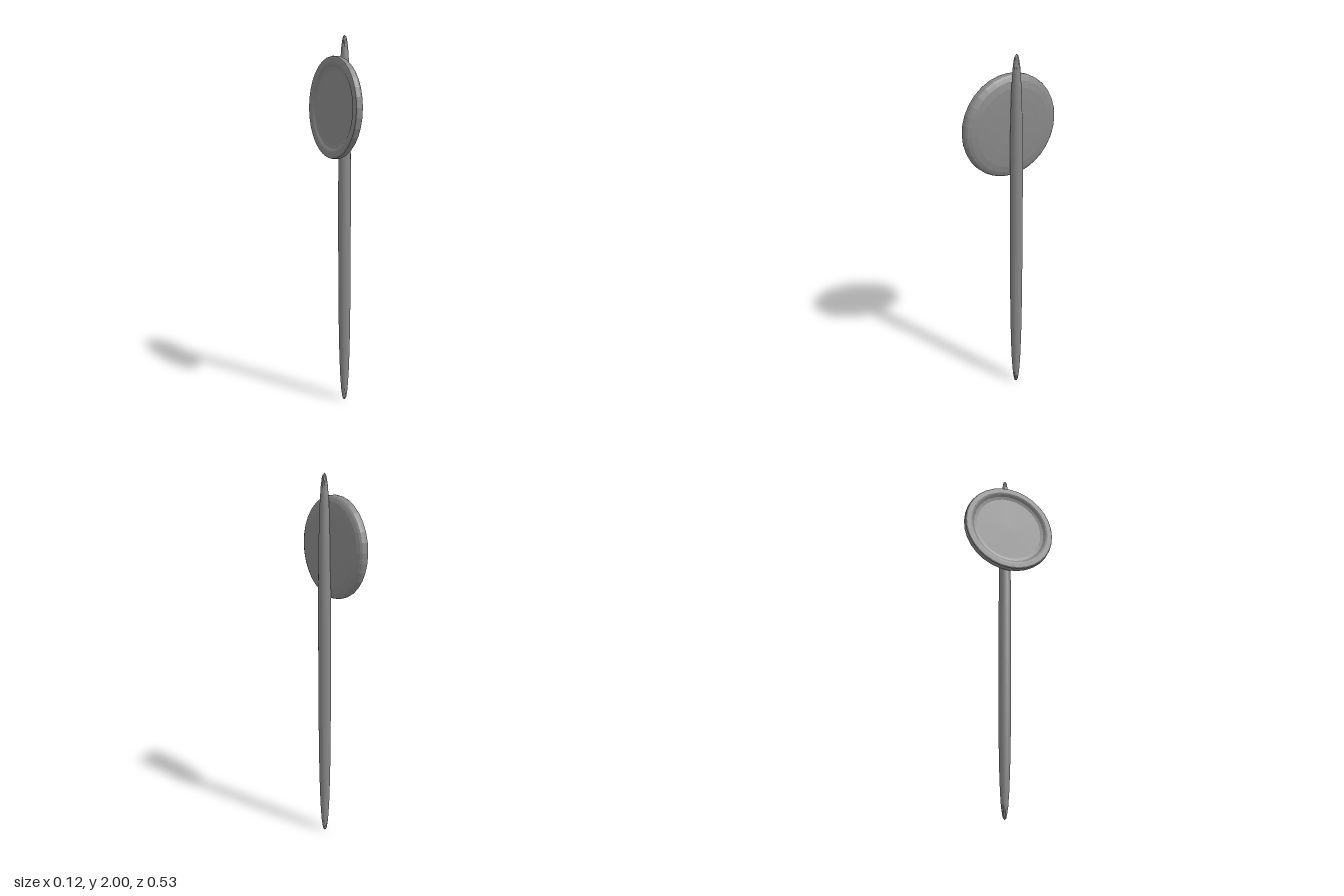
import * as THREE from 'three';

const material = new THREE.MeshStandardMaterial({ color: 0x888888, flatShading: true });

// Slender rod: a gridded box rounded into a long blunt-tipped ellipsoid
function makeRod(radius, halfLength) {
  const power = 2.8;
  const geometry = new THREE.BoxGeometry(2, 2, 2, 8, 12, 8);
  const pos = geometry.attributes.position;
  for (let i = 0; i < pos.count; i++) {
    const x = pos.getX(i), y = pos.getY(i), z = pos.getZ(i);
    const f = (Math.hypot(x, z) ** power + Math.abs(y) ** power) ** (-1 / power);
    pos.setXYZ(i, x * f * radius, y * f * halfLength, z * f * radius);
  }
  geometry.computeVertexNormals();
  const rod = new THREE.Mesh(geometry, material);
  rod.name = 'rod';
  return rod;
}

// Round disc: shallow recess behind, rolled rim, gently domed outer face
function makeDisc() {
  const profile = [
    [0, -0.043], [0.195, -0.043], [0.212, -0.047], [0.225, -0.055],
    [0.234, -0.058], [0.257, -0.058], [0.264, -0.055], [0.2665, -0.047],
    [0.2665, -0.032], [0.263, -0.022], [0.255, -0.014], [0.238, -0.006],
    [0.205, 0.001], [0.15, 0.005], [0.08, 0.007], [0, 0.007],
  ].map(([r, y]) => new THREE.Vector2(r, y));
  const disc = new THREE.Mesh(new THREE.LatheGeometry(profile, 32), material);
  disc.name = 'disc';
  return disc;
}

export function createModel() {
  const group = new THREE.Group();
  group.name = 'discOnRod';

  const rod = makeRod(0.034, 1);
  rod.position.set(0.024, 1, 0);

  // Turn the domed face towards the rod
  const disc = makeDisc();
  disc.rotation.z = -Math.PI / 2;
  disc.position.y = 1.625;

  group.add(rod, disc);
  return group;
}
